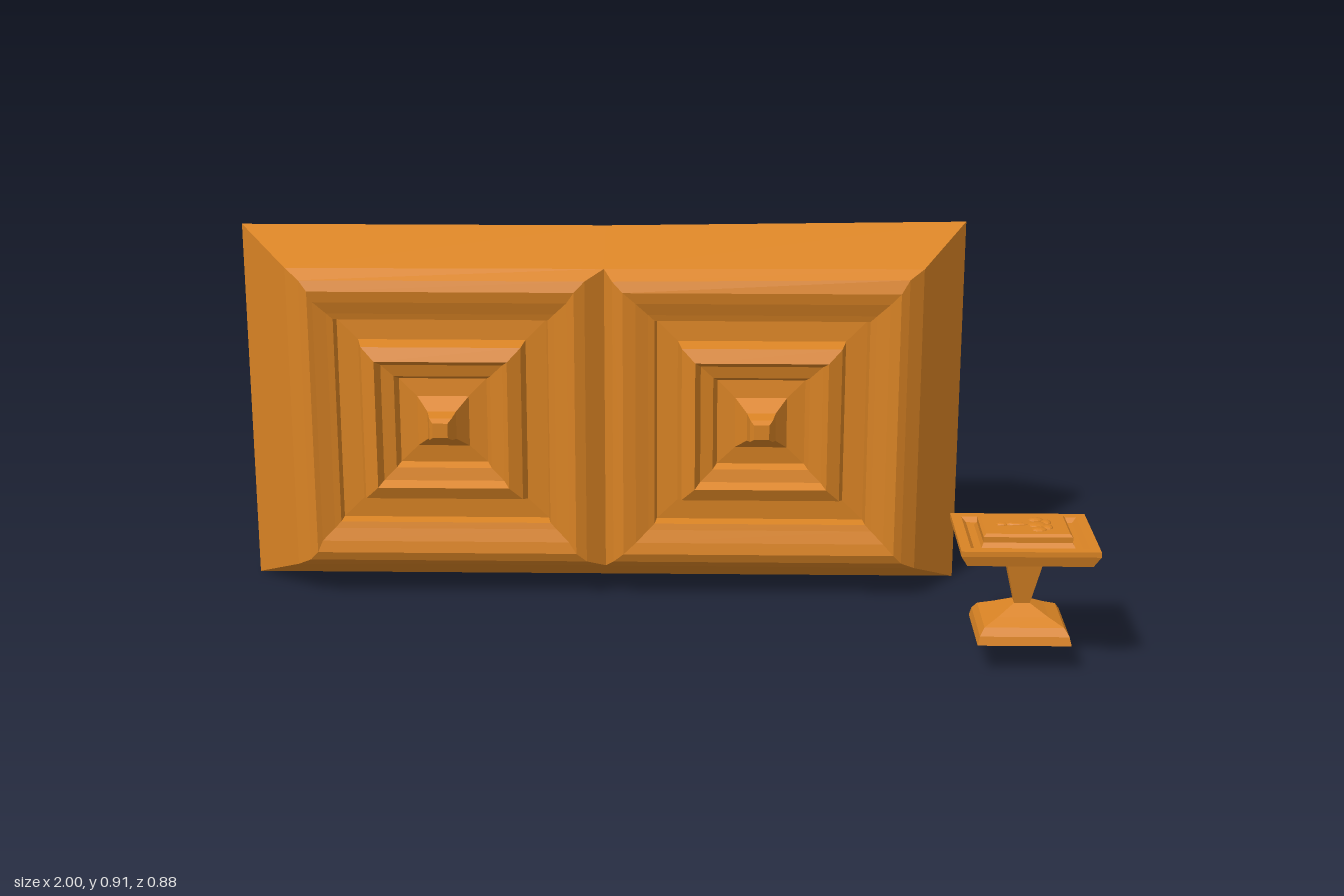
import * as THREE from 'three';

const material = new THREE.MeshStandardMaterial({ color: 0xd98324, flatShading: true });
const SEAM = -0.12, MID = -0.205;

// Rectangle loop, counter-clockwise seen from +z; zl / zr are the depths of its two sides
const rect = (x0, x1, y0, y1, zl, zr = zl, yr = y1) =>
  [[x0, y0, zl], [x1, y0, zr], [x1, yr, zr], [x0, y1, zl]];
const centred = (cx, cy, hx, hy, z) => rect(cx - hx, cx + hx, cy - hy, cy + hy, z);

// Joins successive rectangles with flat faces and closes the last one
function loft(loops, mirrorZ = false) {
  const pos = [];
  const tri = (a, b, c) => pos.push(...a, ...(mirrorZ ? c : b), ...(mirrorZ ? b : c));
  const quad = (a, b, c, d) => { tri(a, b, c); tri(a, c, d); };
  for (let k = 0; k + 1 < loops.length; k++) {
    const A = loops[k], B = loops[k + 1];
    for (let i = 0; i < 4; i++) {
      const j = (i + 1) % 4;
      // the two panels are joined here, so no face is needed
      if ([A[i], A[j], B[i], B[j]].every(p => p[0] === SEAM)) continue;
      quad(A[i], A[j], B[j], B[i]);
    }
  }
  quad(...loops[loops.length - 1]);
  const g = new THREE.BufferGeometry();
  g.setAttribute('position', new THREE.Float32BufferAttribute(pos, 3));
  if (mirrorZ) g.scale(1, 1, -1);
  g.computeVertexNormals();
  return g;
}

function add(parent, name, geometry) {
  const m = new THREE.Mesh(geometry, material);
  m.name = name;
  parent.add(m);
  return m;
}

// Stepped mouldings: half size and height above the middle plane
const mouldings = [
  [0.30, 0.182], [0.27, 0.172], [0.255, 0.168], [0.25, 0.142], [0.20, 0.145],
  [0.19, 0.18], [0.158, 0.195], [0.145, 0.175], [0.115, 0.168], [0.105, 0.15],
  [0.062, 0.155], [0.034, 0.19], [0.027, 0.222], [0.018, 0.235],
];

function panelLoops(left) {
  const cx = left ? -0.508 : 0.255;
  const edges = left ? [
    rect(-1, SEAM, 0.002, 0.9, 0),
    rect(-0.875, SEAM, 0.08, 0.828, 0.15, 0.145),
    rect(-0.84, -0.165, 0.102, 0.805, 0.177),
    rect(-0.82, -0.19, 0.125, 0.78, 0.187),
  ] : [
    rect(SEAM, 0.745, 0.002, 0.9, 0, 0, 0.913),
    rect(SEAM, 0.635, 0.08, 0.828, 0.145, 0.15, 0.832),
    rect(-0.1, 0.6, 0.102, 0.805, 0.177, 0.177, 0.812),
    rect(-0.075, 0.58, 0.125, 0.78, 0.187),
  ];
  return edges.concat(mouldings.map(([h, z]) => centred(cx, 0.453, h, h, z)));
}

export function createModel() {
  const model = new THREE.Group();

  // Double panelled slab, the same on both faces
  const slab = new THREE.Group();
  slab.name = 'panelSlab';
  slab.position.z = MID;
  for (const left of [true, false])
    for (const back of [false, true])
      add(slab, (left ? 'rightHand' : 'leftHand') + (back ? 'BackPanel' : 'FrontPanel'),
        loft(panelLoops(left), back));
  model.add(slab);

  // Small pedestal table: half width, half depth, height
  const pedestal = new THREE.Group();
  pedestal.name = 'pedestal';
  pedestal.position.set(0.845, 0, 0.315);
  const section = ([hx, hz, y]) => centred(0, 0, hx, hz, y);
  const turned = (rows) => loft(rows.map(section)).rotateX(-Math.PI / 2);
  add(pedestal, 'footAndStem', turned([
    [0, 0, 0.073], [0.106, 0.093, 0.073], [0.101, 0.088, 0.093], [0.09, 0.075, 0.11],
    [0.058, 0.05, 0.125], [0.018, 0.017, 0.147], [0.04, 0.037, 0.247],
  ]));
  add(pedestal, 'tableTop', turned([
    [0.04, 0.037, 0.247], [0.14, 0.118, 0.275], [0.155, 0.126, 0.3], [0.155, 0.126, 0.312],
    [0.132, 0.102, 0.312], [0.122, 0.092, 0.302], [0.105, 0.076, 0.302], [0.1, 0.067, 0.312],
    [0.1, 0.067, 0.325], [0.094, 0.061, 0.331],
  ]));

  // Low carved relief on the table: a bar ending in a cluster of rounded lobes
  const relief = new THREE.Group();
  relief.name = 'tableRelief';
  const lobes = [
    [0.028, 0, 0.022, 0.02], [0.028, 0.032, 0.018, 0.014], [0.028, -0.032, 0.018, 0.014],
    [0.05, 0.016, 0.012, 0.016], [0.05, -0.016, 0.012, 0.016],
    [-0.02, 0, 0.028, 0.008], [-0.052, 0, 0.014, 0.01],
  ];
  for (const [x, z, rx, rz] of lobes) {
    const lobe = add(relief, 'reliefLobe', new THREE.SphereGeometry(1, 10, 4, 0, Math.PI * 2, 0, Math.PI / 2));
    lobe.position.set(x, 0.33, z);
    lobe.scale.set(rx, 0.006, rz);
  }
  pedestal.add(relief);
  model.add(pedestal);

  return model;
}
